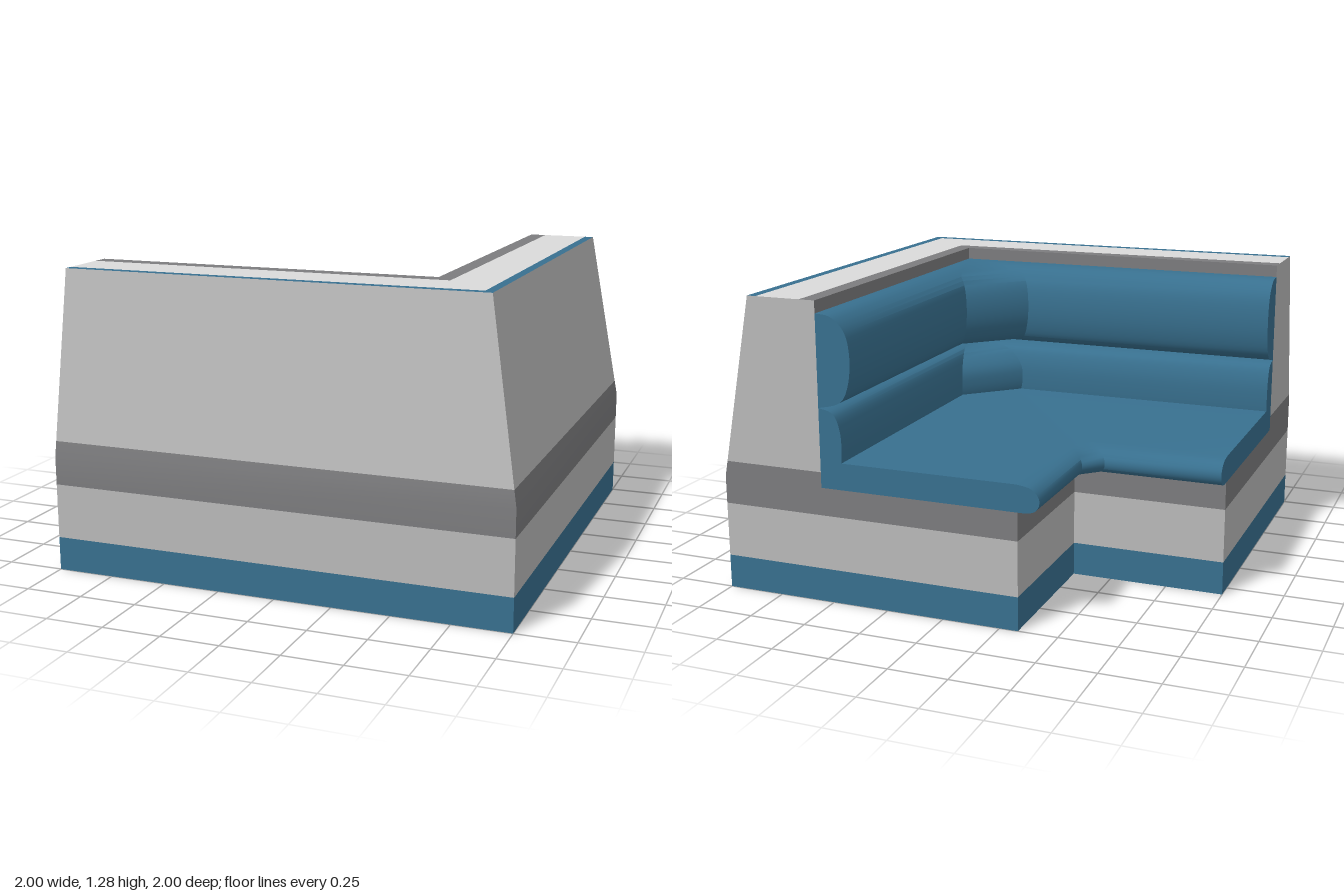
import * as THREE from 'three';
import { toCreasedNormals } from 'three/addons/utils/BufferGeometryUtils.js';

const mat = (name, color) => {
  const m = new THREE.MeshStandardMaterial({ color, side: THREE.DoubleSide });
  m.name = name;
  return m;
};

// Sweeps a profile of [u, y] points along the L: down the left arm, round the corner, along the front arm.
// u is x on the left arm and z on the front arm; chamfer(u) cuts the corner.
function sweep(profile, chamfer) {
  const rows = profile.map(([u, y]) => {
    const c = chamfer ? chamfer(u) : 0;
    const row = [[u, y, -1], [u, y, u - c], [u - c, y, u], [-1, y, u]];
    return chamfer ? row : [row[0], row[1], row[3]];
  });
  const pos = [];
  for (let i = 0; i < rows.length - 1; i++) {
    for (let j = 0; j < rows[i].length - 1; j++) {
      const a = rows[i][j], b = rows[i + 1][j], c = rows[i + 1][j + 1], d = rows[i][j + 1];
      pos.push(...a, ...b, ...d, ...b, ...c, ...d);
    }
  }
  const g = new THREE.BufferGeometry();
  g.setAttribute('position', new THREE.Float32BufferAttribute(pos, 3));
  return toCreasedNormals(g, 0.65);
}

// Flat end panel at z = -1, or mirrored across the corner to x = -1.
function endCap(outline, mirrored) {
  const g = new THREE.ShapeGeometry(new THREE.Shape(outline.map(([u, y]) => new THREE.Vector2(u, y))));
  const p = g.attributes.position;
  for (let i = 0; i < p.count; i++) {
    const u = p.getX(i), y = p.getY(i);
    if (mirrored) p.setXYZ(i, -1, y, u);
    else p.setXYZ(i, u, y, -1);
  }
  if (!mirrored) g.index.array.reverse();
  g.computeVertexNormals();
  return g;
}

// Rounded profile through a few points
const smooth = (points, n) => new THREE.SplineCurve(points.map(([u, y]) => new THREE.Vector2(u, y)))
  .getPoints(n).map((p) => [p.x, p.y]);

export function createModel() {
  const blue = mat('blue upholstery', 0x38708f);
  const grey = mat('grey panel', 0xbababa);
  const dark = mat('dark grey trim', 0x7c7c7e);
  const pale = mat('pale grey top', 0xdadada);
  const model = new THREE.Group();
  model.name = 'cornerBooth';

  const add = (name, geometry, material) => {
    const mesh = new THREE.Mesh(geometry, material);
    mesh.name = name;
    model.add(mesh);
  };
  const addCaps = (name, outline, material) => {
    for (const m of [false, true]) add(name + (m ? 'Right' : 'Back'), endCap(outline, m), material);
  };

  // Outer shell, from the floor up and over the top of the backrest
  const F = -0.33; // front of the base under the seat
  add('outerPlinth', sweep([[1, 0], [1, 0.145]]), blue);
  add('outerLowerPanel', sweep([[1, 0.145], [1, 0.38]]), grey);
  add('outerBand', sweep([[1, 0.38], [1, 0.5], [0.987, 0.567]]), dark);
  add('outerBackPanel', sweep([[0.987, 0.567], [0.85, 1.283]]), grey);
  add('topPiping', sweep([[0.85, 1.283], [0.81, 1.283]]), blue);
  add('topLedge', sweep([[0.81, 1.283], [0.61, 1.283]]), pale);
  add('topInnerTrim', sweep([[0.61, 1.283], [0.54, 1.283], [0.54, 0.5]]), dark);

  // Base wall under the front of the seat
  add('innerBand', sweep([[F, 0.5], [F, 0.38]]), dark);
  add('innerLowerPanel', sweep([[F, 0.38], [F, 0.145]]), grey);
  add('innerPlinth', sweep([[F, 0.145], [F, 0]]), blue);

  // Flat ends of both arms
  addCaps('endPlinth', [[1, 0], [1, 0.145], [F, 0.145], [F, 0]], blue);
  addCaps('endLowerPanel', [[1, 0.145], [1, 0.38], [F, 0.38], [F, 0.145]], grey);
  addCaps('endBand', [[1, 0.38], [1, 0.5], [0.987, 0.567], [0.54, 0.567], [0.54, 0.5], [F, 0.5], [F, 0.38]], dark);
  addCaps('endBackPanel', [[0.987, 0.567], [0.85, 1.283], [0.54, 1.283], [0.54, 0.567]], grey);

  // Back cushions, with the corner cut at 45 degrees
  const backCut = (u) => 0.225 * Math.min(1, Math.max(0, (0.54 - u) / 0.1));
  const upper = smooth([[0.54, 1.23], [0.47, 1.22], [0.41, 1.16], [0.39, 1.06], [0.4, 0.95], [0.44, 0.87], [0.54, 0.84]], 24);
  const lower = smooth([[0.54, 0.84], [0.475, 0.82], [0.445, 0.75], [0.44, 0.66], [0.45, 0.57], [0.48, 0.5]], 20);
  for (const [name, profile] of [['upperBackCushion', upper], ['lowerBackCushion', lower]]) {
    add(name, sweep(profile, backCut), blue);
    addCaps(name + 'End', name[0] === 'l' ? [...profile, [0.54, 0.5]] : profile, blue);
  }

  // Seat cushion with a rounded, overhanging front lip
  const lip = smooth([[-0.32, 0.615], [-0.38, 0.605], [-0.415, 0.575], [-0.42, 0.54], [-0.4, 0.51], [-0.36, 0.5]], 16);
  const seat = [[0.48, 0.615], ...lip, [0.48, 0.5]];
  add('seatCushion', sweep(seat, (u) => (u < 0 ? 0.075 : 0.2)), blue);
  addCaps('seatCushionEnd', seat, blue);

  return model;
}
